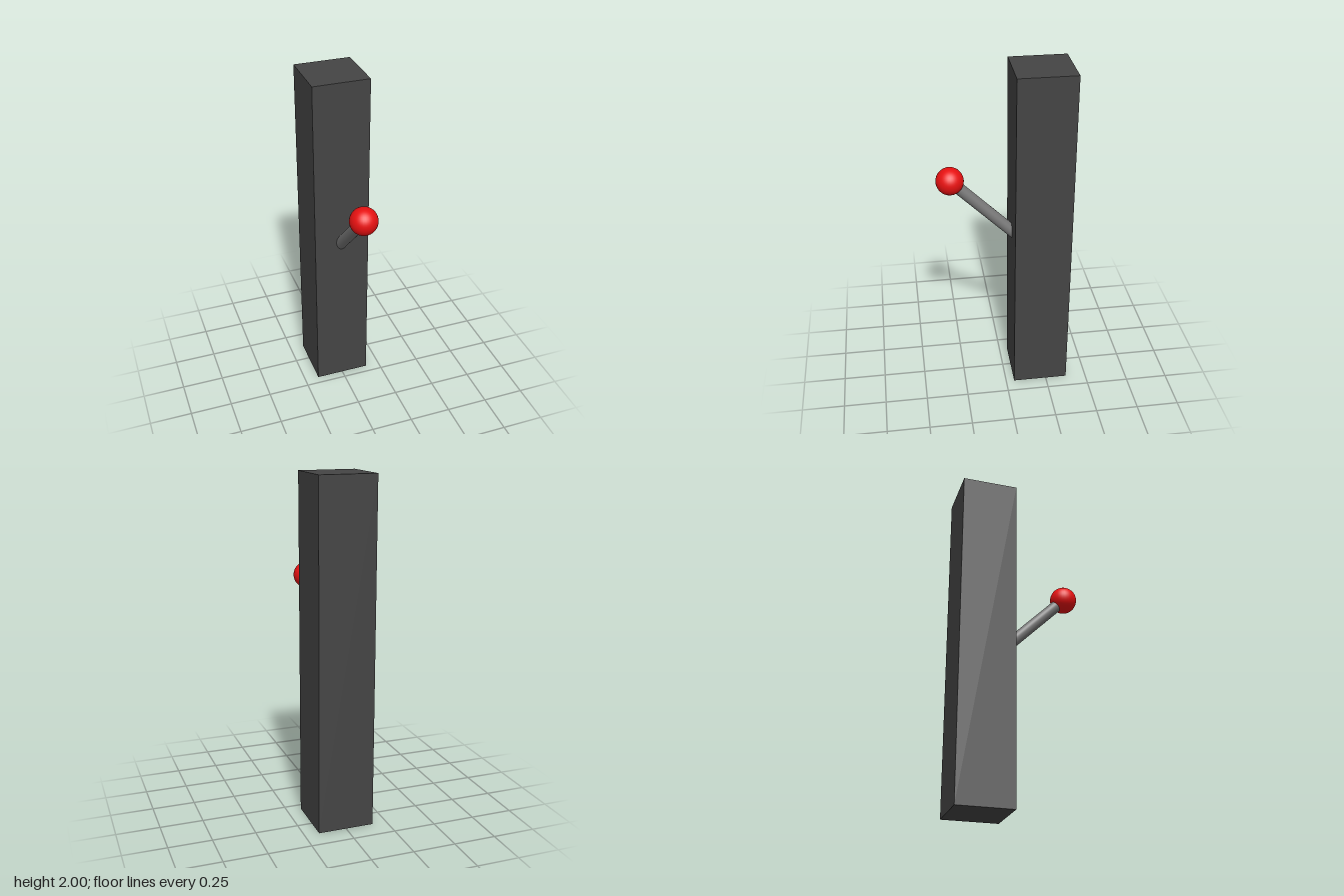
import * as THREE from 'three';

export function createModel() {
  const model = new THREE.Group();
  model.name = 'leverPost';

  const material = (name, color) => {
    const m = new THREE.MeshStandardMaterial({ color });
    m.name = name;
    return m;
  };
  const darkGrey = material('dark grey', 0x444444);
  const grey = material('grey metal', 0x777777);
  const red = material('red', 0xe81111);

  const add = (name, geometry, mat, position) => {
    const mesh = new THREE.Mesh(geometry, mat);
    mesh.name = name;
    mesh.position.copy(position);
    model.add(mesh);
    return mesh;
  };

  // Square upright post
  add('post', new THREE.BoxGeometry(0.328, 2, 0.328), darkGrey, new THREE.Vector3(0, 1, -0.214));

  // Round knob at the tip of the lever
  const tip = new THREE.Vector3(0, 1.354, 0.298);
  add('knob', new THREE.SphereGeometry(0.079, 32, 24), red, tip);

  // Lever rod, sloping up and forward at 45 degrees from inside the post
  const root = new THREE.Vector3(0, 0.946, -0.11);
  const rod = add('leverRod', new THREE.CylinderGeometry(0.034, 0.034, root.distanceTo(tip), 32),
    grey, root.clone().add(tip).multiplyScalar(0.5));
  rod.rotation.x = Math.PI / 4;

  return model;
}
